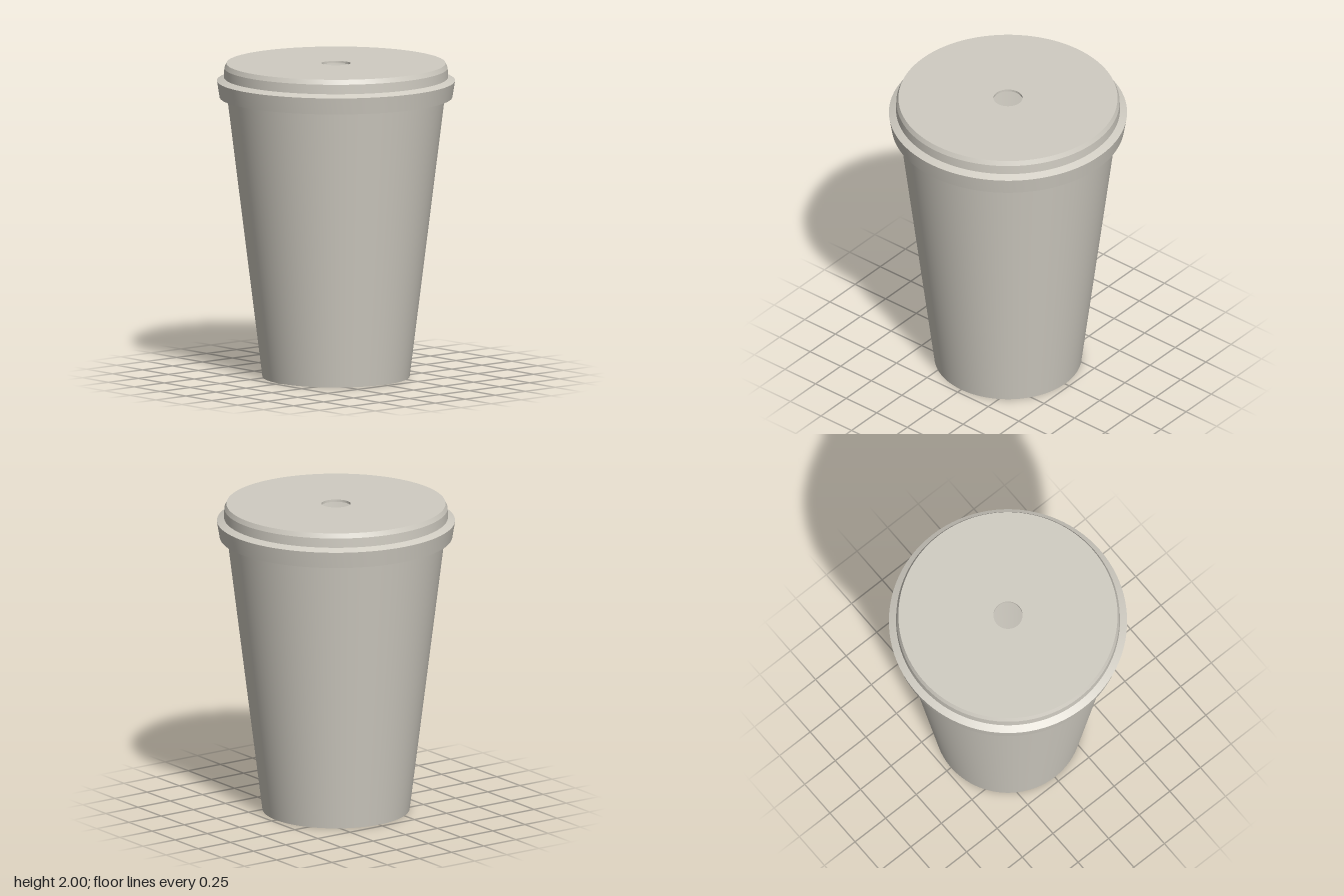
import * as THREE from 'three';
import { toCreasedNormals } from 'three/addons/utils/BufferGeometryUtils.js';

const SEGMENTS = 96;

// Revolve a closed (radius, height) profile, keeping its corners sharp
function revolve(name, profile, material) {
  const points = profile.map(([r, y]) => new THREE.Vector2(r, y));
  const geometry = toCreasedNormals(new THREE.LatheGeometry(points, SEGMENTS), 0.35);
  const mesh = new THREE.Mesh(geometry, material);
  mesh.name = name;
  return mesh;
}

export function createModel() {
  const group = new THREE.Group();
  group.name = 'lidded cup';
  const stone = new THREE.MeshStandardMaterial({ color: 0xd0ccc2 });
  stone.name = 'warm grey';

  // Tapered hollow cup with a recessed floor
  group.add(revolve('cup', [
    [0, 0.13], [0.466, 0.13], [0.45, 0], [0.465, 0],
    [0.7, 1.89], [0.685, 1.89], [0.468, 0.145], [0, 0.145],
  ], stone));

  // Thin lid: flared skirt, sloped shoulder, bevelled top and a sip hole
  group.add(revolve('lid', [
    [0.72, 1.785], [0.735, 1.785], [0.752, 1.89], [0.707, 1.91],
    [0.705, 1.97], [0.692, 2], [0.092, 2], [0.092, 1.985],
    [0.682, 1.985], [0.69, 1.965], [0.69, 1.9], [0.735, 1.88], [0.72, 1.785],
  ], stone));

  return group;
}
